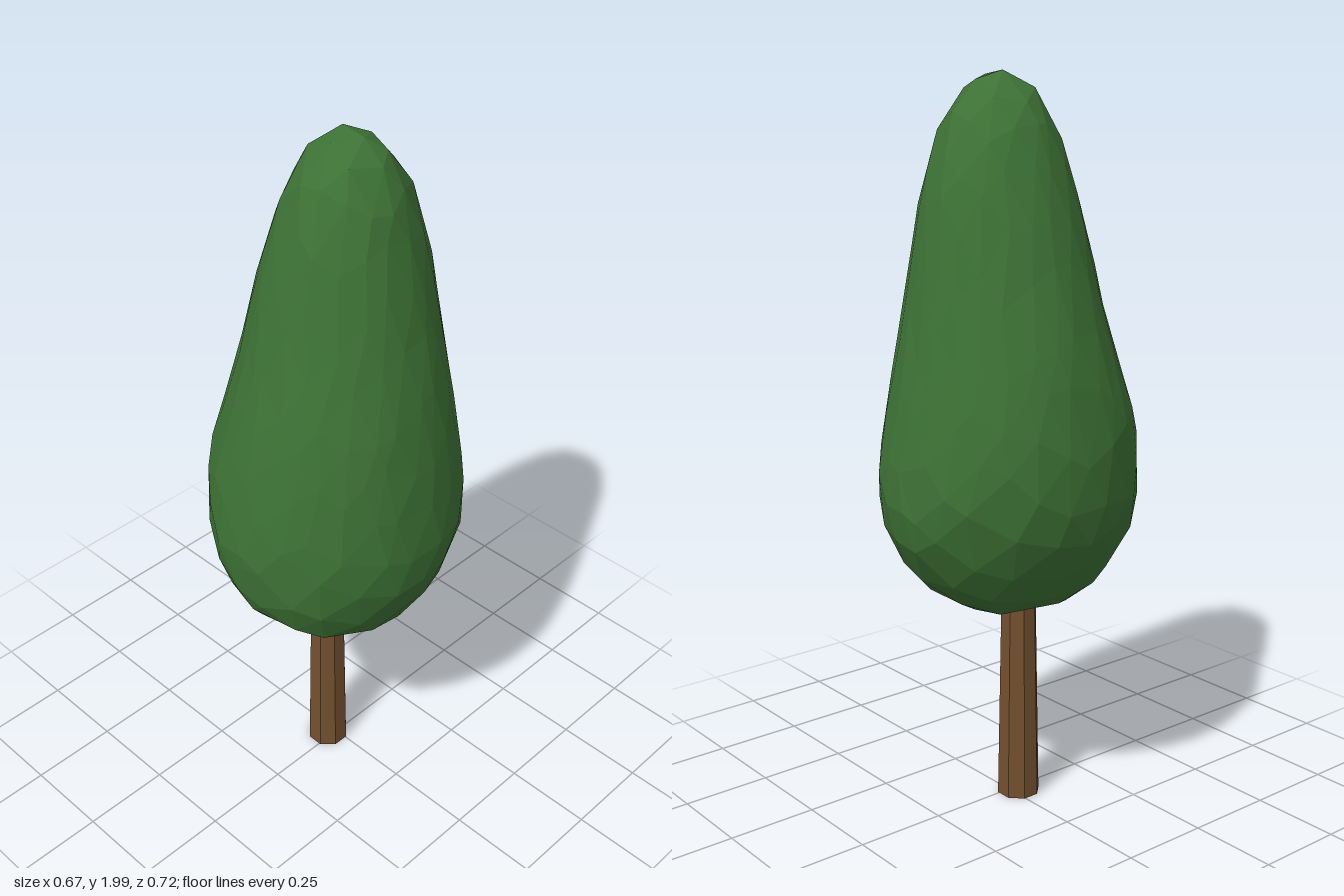
import * as THREE from 'three';

// Crown cross-sections from tip to base: height, -x edge, +x edge, -z edge, +z edge
const SECTIONS = [
  [2.0, 0.02, 0.02, -0.015, -0.015],
  [1.95, -0.07, 0.11, -0.10, 0.07],
  [1.83, -0.135, 0.175, -0.18, 0.14],
  [1.66, -0.19, 0.215, -0.23, 0.185],
  [1.48, -0.235, 0.25, -0.26, 0.235],
  [1.28, -0.295, 0.295, -0.295, 0.295],
  [1.1, -0.33, 0.322, -0.332, 0.337],
  [0.92, -0.334, 0.336, -0.362, 0.365],
  [0.78, -0.303, 0.322, -0.335, 0.35],
  [0.65, -0.225, 0.255, -0.255, 0.29],
  [0.565, -0.13, 0.145, -0.125, 0.16],
  [0.54, 0.01, 0.01, -0.01, 0.01],
];

// Repeatable noise in -1..1, equal for coincident vertices
function noise(p, seed) {
  const q = [p.x, p.y, p.z].map((v) => Math.round(v * 1000));
  const s = Math.sin(q[0] * 0.1271 + q[1] * 0.3117 + q[2] * 0.0747 + seed) * 43758.5453;
  return (s - Math.floor(s)) * 2 - 1;
}

// Section at a fraction t from tip (0) to base (1)
function sectionAt(t) {
  const f = t * (SECTIONS.length - 1);
  const i = Math.min(Math.floor(f), SECTIONS.length - 2);
  return SECTIONS[i].map((v, k) => THREE.MathUtils.lerp(v, SECTIONS[i + 1][k], f - i));
}

// Faceted ball reshaped to the crown sections, with slightly irregular facets
function crownGeometry() {
  const geometry = new THREE.IcosahedronGeometry(1, 4);
  const position = geometry.attributes.position;
  const p = new THREE.Vector3();
  for (let i = 0; i < position.count; i++) {
    p.fromBufferAttribute(position, i);
    const j = [1, 2, 3].map((seed) => noise(p, seed) * 0.055);
    p.set(p.x + j[0], p.y + j[1], p.z + j[2]).normalize();
    const [y, x0, x1, z0, z1] = sectionAt(Math.acos(THREE.MathUtils.clamp(p.y, -1, 1)) / Math.PI);
    const angle = Math.atan2(p.z, p.x);
    // shallow hollow on the front right flank
    const facing = Math.max(0, Math.cos(angle - Math.PI * 0.72));
    const scale = 1.008 - 0.07 * facing ** 4 * Math.exp(-(((y - 1.32) / 0.16) ** 2));
    position.setXYZ(
      i,
      (x0 + x1) / 2 + ((x1 - x0) / 2) * Math.cos(angle) * scale,
      y,
      (z0 + z1) / 2 + ((z1 - z0) / 2) * Math.sin(angle) * scale,
    );
  }
  geometry.computeVertexNormals();
  return geometry;
}

export function createModel() {
  const tree = new THREE.Group();
  tree.name = 'tree';

  const crown = new THREE.Mesh(
    crownGeometry(),
    new THREE.MeshStandardMaterial({ color: 0x3d7235, flatShading: true }),
  );
  crown.name = 'crown';

  // Tapered eight-sided trunk, running up into the crown
  const trunkGeometry = new THREE.CylinderGeometry(0.048, 0.06, 0.65, 8);
  trunkGeometry.rotateY(Math.PI / 8);
  const trunk = new THREE.Mesh(
    trunkGeometry,
    new THREE.MeshStandardMaterial({ color: 0x73502f, flatShading: true }),
  );
  trunk.name = 'trunk';
  trunk.position.set(-0.018, 0.325, 0.02);

  tree.add(crown, trunk);
  return tree;
}
